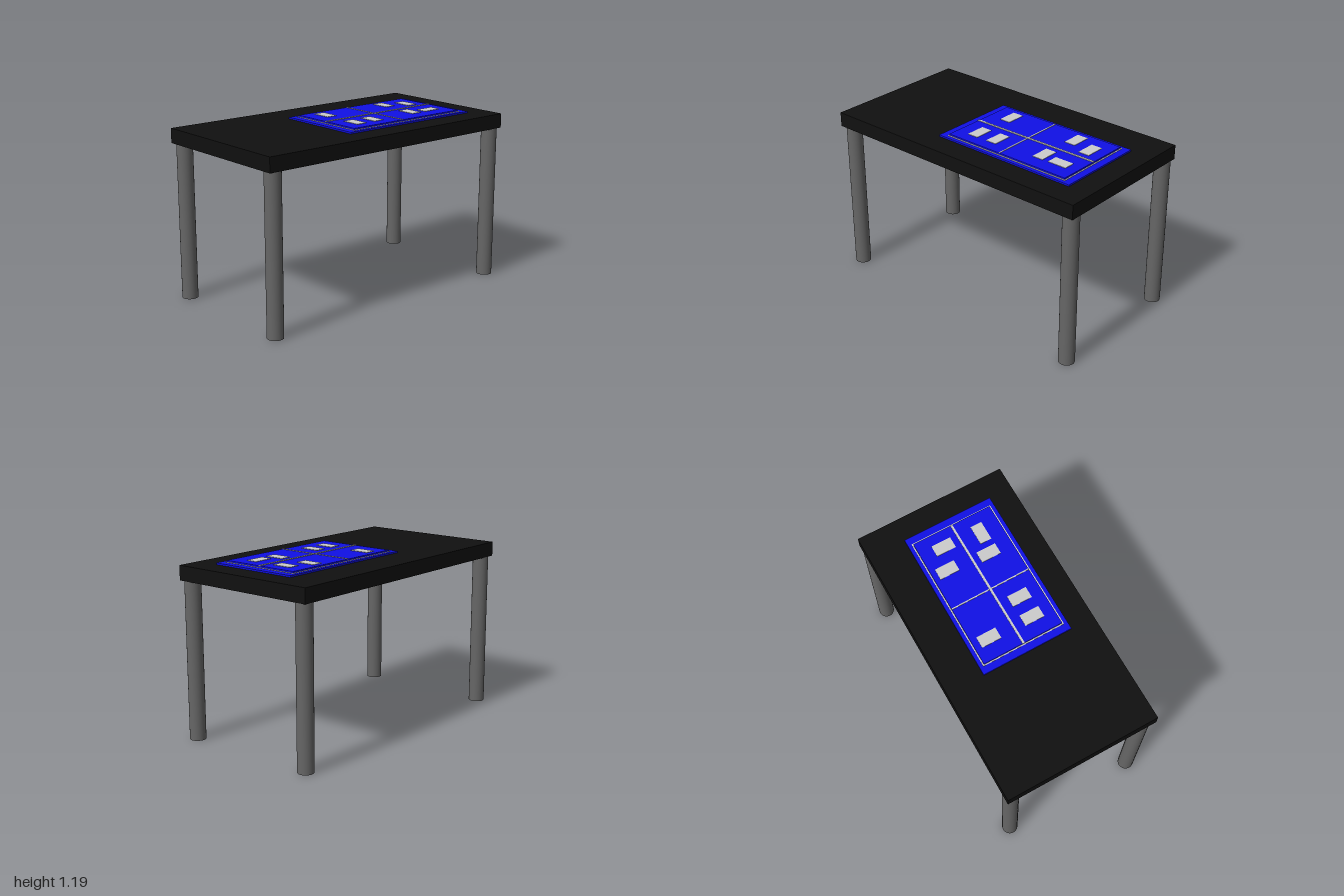
import * as THREE from 'three';

const material = (color) => new THREE.MeshStandardMaterial({ color });

export function createModel() {
  const model = new THREE.Group();
  const black = material(0x101010);
  const blue = material(0x1010e6);
  const legGrey = material(0x666666);
  const grey = material(0xcccccc);

  // Box given by its extents along each axis
  const slab = (name, mat, [x0, x1], [y0, y1], [z0, z1], parent = model) => {
    const mesh = new THREE.Mesh(new THREE.BoxGeometry(x1 - x0, y1 - y0, z1 - z0), mat);
    mesh.position.set((x0 + x1) / 2, (y0 + y1) / 2, (z0 + z1) / 2);
    mesh.name = name;
    parent.add(mesh);
    return mesh;
  };

  // Table top and four round legs
  slab('tableTop', black, [-0.533, 0.533], [1.065, 1.164], [-1, 1]);
  const legGeometry = new THREE.CylinderGeometry(0.054, 0.054, 1.066, 32);
  for (const x of [-0.477, 0.473]) {
    for (const z of [-0.945, 0.935]) {
      const leg = new THREE.Mesh(legGeometry, legGrey);
      leg.name = (z > 0 ? 'front' : 'back') + (x > 0 ? 'Left' : 'Right') + 'Leg';
      leg.position.set(x, 0.533, z);
      model.add(leg);
    }
  }

  // Two-step game board
  const board = new THREE.Group();
  board.name = 'gameBoard';
  model.add(board);
  slab('boardBase', blue, [-0.272, 0.365], [1.164, 1.175], [-0.838, 0.23], board);
  slab('boardField', blue, [-0.238, 0.33], [1.175, 1.187], [-0.778, 0.172], board);

  // Border line around the raised field
  for (const [a, b] of [[-0.247, -0.238], [0.33, 0.339]]) {
    slab('sideBorder', grey, [a, b], [1.174, 1.177], [-0.787, 0.181], board);
  }
  for (const [a, b] of [[-0.787, -0.778], [0.172, 0.181]]) {
    slab('endBorder', grey, [-0.238, 0.33], [1.174, 1.177], [a, b], board);
  }

  // Dividing lines, each very slightly askew
  slab('longLine', grey, [0.038, 0.053], [1.186, 1.191], [-0.778, 0.176], board).rotation.y = 0.005;
  slab('crossLine', grey, [-0.238, 0.33], [1.186, 1.19], [-0.259, -0.25], board).rotation.y = 0.008;

  // Cards: centre x, centre z, turned sideways
  const cards = [
    [-0.074, -0.664], [-0.132, -0.508], [0.16, -0.483], [0.186, -0.633, true],
    [0.181, -0.115], [0.185, 0.038], [-0.126, 0.033],
  ];
  for (const [x, z, turned] of cards) {
    const w = turned ? 0.04 : 0.069;
    const d = turned ? 0.069 : 0.04;
    slab('card', grey, [x - w, x + w], [1.186, 1.19], [z - d, z + d], board);
  }
  return model;
}
